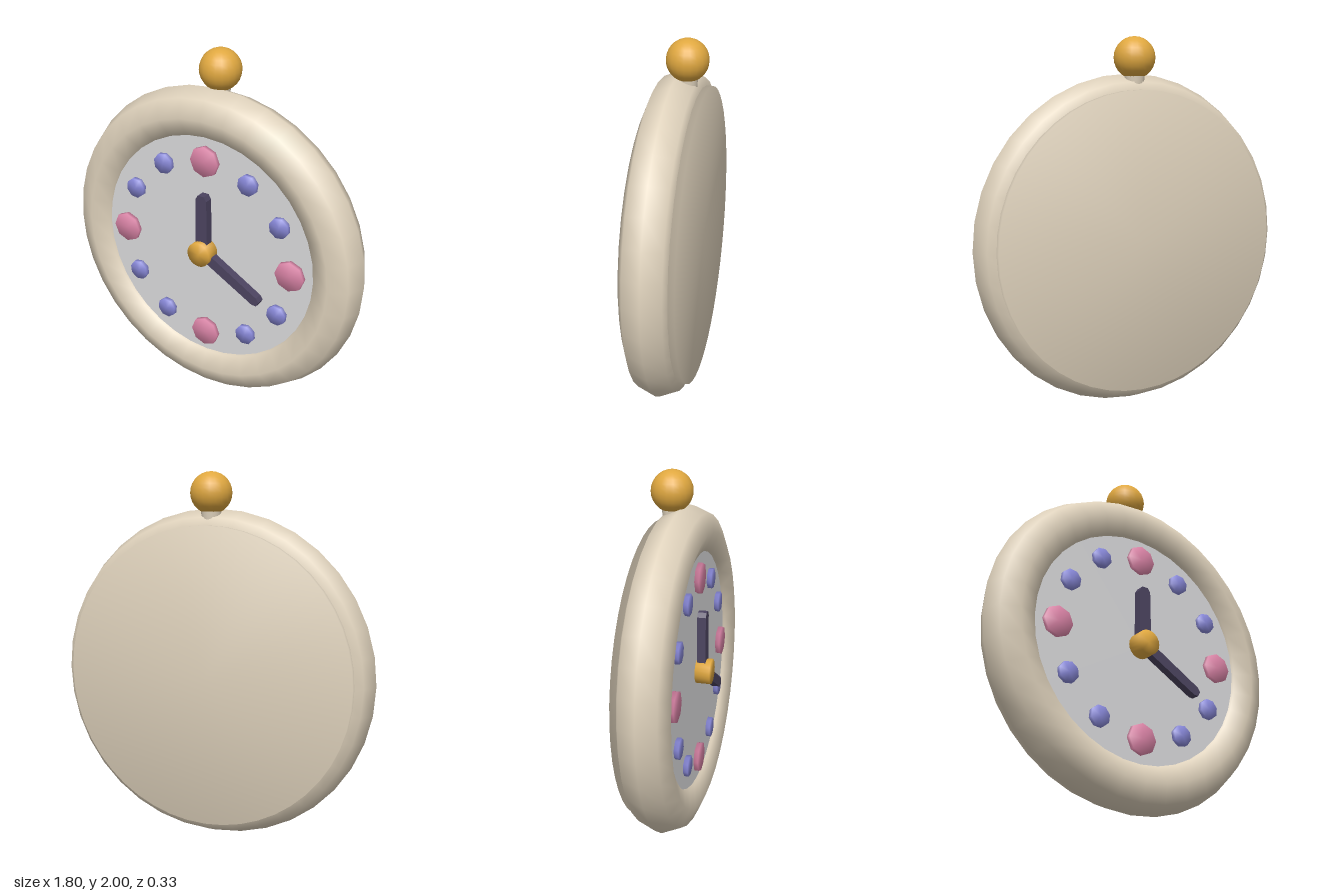
import * as THREE from 'three';
import { mergeVertices } from 'three/addons/utils/BufferGeometryUtils.js';

const CY = 0.905; // height of the dial centre

const material = (name, color) => {
  const m = new THREE.MeshStandardMaterial({ color });
  m.name = name;
  return m;
};

// Weld a geometry so that shading runs softly across its edges
function soften(geometry) {
  geometry.deleteAttribute('normal');
  geometry.deleteAttribute('uv');
  const welded = mergeVertices(geometry);
  welded.computeVertexNormals();
  return welded;
}

// Disc facing +z between two depths
function disc(radius, back, front, sides, backRadius = radius) {
  const g = new THREE.CylinderGeometry(radius, backRadius, front - back, sides);
  g.rotateX(Math.PI / 2);
  g.translate(0, 0, (front + back) / 2);
  return g;
}

// Clock hand pointing up from the origin, with a clipped tip
function handGeometry(length, halfWidth, back, depth) {
  const s = new THREE.Shape();
  s.moveTo(-halfWidth, 0);
  s.lineTo(halfWidth, 0);
  s.lineTo(halfWidth * 0.9, length - 0.025);
  s.lineTo(halfWidth * 0.5, length);
  s.lineTo(-halfWidth * 0.5, length);
  s.lineTo(-halfWidth * 0.9, length - 0.025);
  s.closePath();
  const g = new THREE.ExtrudeGeometry(s, { depth, bevelEnabled: false });
  g.translate(0, 0, back);
  return g;
}

export function createModel() {
  const model = new THREE.Group();
  model.name = 'pocketClock';

  const cream = material('cream', 0xdfd2bc);
  const white = material('dialGrey', 0xdadadc);
  const pink = material('pink', 0xdc85a8);
  const blue = material('periwinkle', 0x8888d8);
  const dark = material('darkPurple', 0x4c4460);
  const gold = material('gold', 0xe0a840);

  const add = (name, geometry, mat, x = 0, y = CY, z = 0) => {
    const mesh = new THREE.Mesh(geometry, mat);
    mesh.name = name;
    mesh.position.set(x, y, z);
    model.add(mesh);
    return mesh;
  };

  // Case: ring, back drum and dial
  add('rim', new THREE.TorusGeometry(0.76, 0.14, 8, 36), cream);
  add('caseBack', soften(disc(0.815, -0.15, 0, 48)), cream);
  add('dial', disc(0.68, 0.02, 0.085, 48), white);

  // Hour markers: large at the quarters, small between
  for (let i = 0; i < 12; i++) {
    const angle = (i * Math.PI) / 6;
    const quarter = i % 3 === 0;
    const marker = add(
      quarter ? 'quarterMarker' : 'hourMarker',
      soften(disc(quarter ? 0.085 : 0.058, 0.075, 0.11, 8)),
      quarter ? pink : blue,
      0.525 * Math.sin(angle), CY + 0.525 * Math.cos(angle)
    );
    marker.rotation.z = -angle;
  }

  // Hands and centre hub
  add('hourHand', handGeometry(0.34, 0.038, 0.09, 0.048), dark);
  add('minuteHand', handGeometry(0.415, 0.03, 0.095, 0.047), dark).rotation.z = -Math.PI * 2 / 3;
  add('hub', soften(disc(0.07, 0.08, 0.167, 20)), gold);

  // Crown on its stem
  add('stem', new THREE.CylinderGeometry(0.06, 0.048, 0.14, 16), cream, 0, 1.79, -0.055);
  add('crown', new THREE.SphereGeometry(0.112, 20, 14), gold, 0, 1.888, -0.055);

  return model;
}
